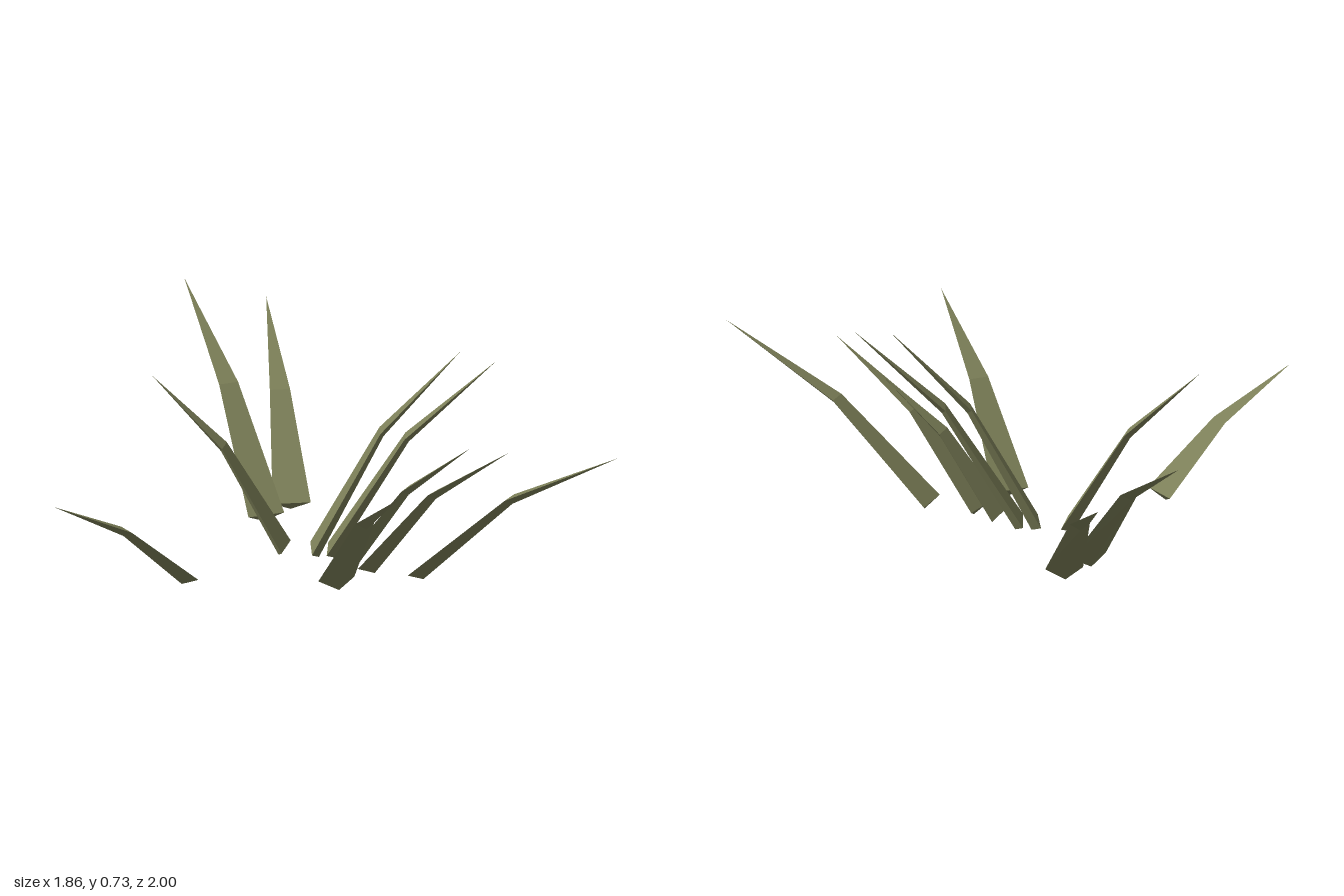
import * as THREE from 'three';

// Each blade: base centre x, z, then tip x, y, z
const BLADES = [
  [-0.105, -0.215, -0.27, 0.61, -0.94],
  [-0.005, -0.31, 0.015, 0.505, -1.0],
  [-0.085, 0.09, -0.51, 0.6, -0.085],
  [-0.445, 0.29, -0.93, 0.375, 0.495],
  [-0.005, 0.118, 0.49, 0.725, 0.172],
  [0.048, 0.131, 0.6, 0.71, 0.24],
  [0.115, 0.2, 0.48, 0.48, 0.44],
  [0.162, 0.28, 0.58, 0.535, 0.64],
  [0.312, 0.363, 0.925, 0.557, 0.8],
  [0.035, 0.41, 0.155, 0.53, 1.0],
];
const BASE_Y = 0.03;

// Bent blade with a keeled triangular section that tapers to a point
function bladeGeometry([x, z, tipX, tipY, tipZ]) {
  const base = new THREE.Vector3(x, BASE_Y, z);
  const tip = new THREE.Vector3(tipX, tipY, tipZ);
  const heading = new THREE.Vector3(tipX - x, 0, tipZ - z).normalize();
  const side = new THREE.Vector3(-heading.z, 0, heading.x);
  const mid = base.clone().lerp(tip, 0.46);
  mid.y = THREE.MathUtils.lerp(BASE_Y, tipY, 0.6);

  // Left edge, right edge and keel of one cross-section
  const section = (centre, halfWidth, out, drop) => {
    const keel = centre.clone().addScaledVector(heading, out);
    keel.y -= drop;
    return [
      centre.clone().addScaledVector(side, -halfWidth),
      centre.clone().addScaledVector(side, halfWidth),
      keel,
    ];
  };
  const a = section(base, 0.064, 0.026, BASE_Y);
  const b = section(mid, 0.034, 0.012, 0.02);

  const points = [a[0], a[2], a[1]]; // base cap
  for (let i = 0; i < 3; i++) {
    const j = (i + 1) % 3;
    points.push(a[i], a[j], b[j], a[i], b[j], b[i]); // lower half
    points.push(b[i], b[j], tip); // upper half
  }
  const geometry = new THREE.BufferGeometry().setFromPoints(points);
  geometry.computeVertexNormals();
  return geometry;
}

export function createModel() {
  const group = new THREE.Group();
  group.name = 'grassTuft';
  const material = new THREE.MeshStandardMaterial({ color: 0x7c7f58, flatShading: true });
  BLADES.forEach((blade, i) => {
    const mesh = new THREE.Mesh(bladeGeometry(blade), material);
    mesh.name = `grassBlade${i + 1}`;
    group.add(mesh);
  });
  return group;
}
